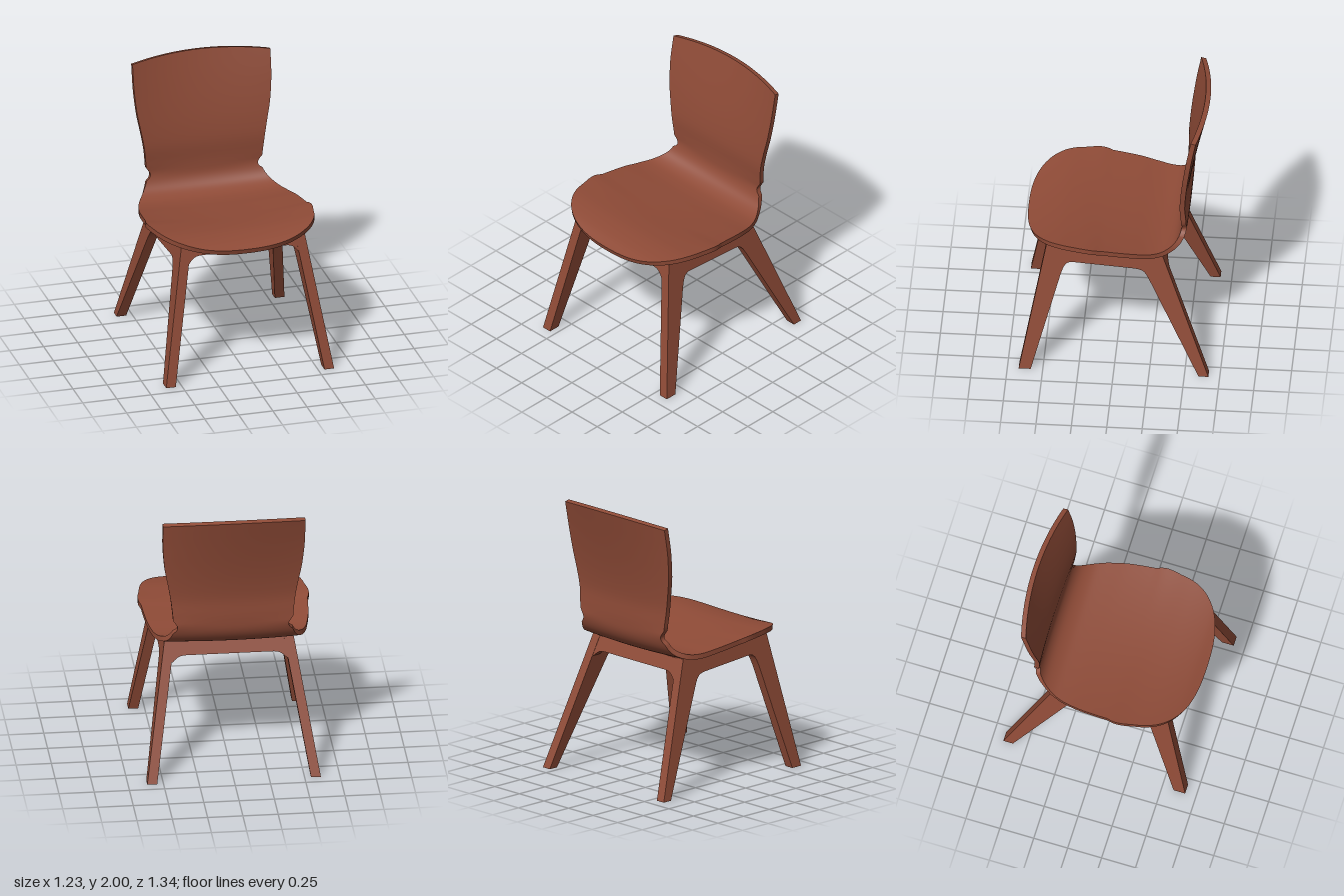
import * as THREE from 'three';
import { mergeVertices, toCreasedNormals } from 'three/addons/utils/BufferGeometryUtils.js';

const wood = new THREE.MeshStandardMaterial({ color: 0x8f4b37 });
wood.name = 'reddish brown wood';

// Shell profile from front edge to top of back: z, y, half width, sideways curl
const PROFILE = [
  [0.645, 0.988, 0.59, 0.035], [0.55, 1.015, 0.59, 0.035], [0.42, 1.03, 0.59, 0.035],
  [0.3, 1.027, 0.59, 0.035], [0.1, 1.007, 0.59, 0.035], [-0.1, 0.988, 0.575, 0.03],
  [-0.25, 0.977, 0.545, 0.022], [-0.34, 0.985, 0.51, 0.02], [-0.42, 1.025, 0.46, 0.02],
  [-0.462, 1.09, 0.425, 0.02], [-0.472, 1.18, 0.425, 0.02], [-0.47, 1.33, 0.44, 0.03],
  [-0.483, 1.45, 0.46, 0.038], [-0.51, 1.6, 0.488, 0.05], [-0.55, 1.78, 0.503, 0.065],
  [-0.603, 1.995, 0.505, 0.08],
];

// One bent sheet forms seat and back
function shellGeometry() {
  const path = new THREE.CatmullRomCurve3(PROFILE.map(p => new THREE.Vector3(0, p[1], p[0])));
  const sizes = new THREE.CatmullRomCurve3(PROFILE.map(p => new THREE.Vector3(p[2], p[3], 0)));
  const ROWS = 110, N = 28, L = 2 * (N + 1), THICK = 0.036;
  const pos = [], idx = [];
  for (let r = 0; r <= ROWS; r++) {
    const t = (r / ROWS) ** 2; // finer rows at the rounded front
    const p = path.getPoint(t), tan = path.getTangent(t), s = sizes.getPoint(t);
    const nz = tan.y, ny = -tan.z;
    // Rounded front outline
    const f = Math.min(1, Math.max(0, (p.z - 0.2) / 0.445));
    const w = Math.max(0.03, s.x * (1 - f ** 2.5) ** 0.4);
    const drop = Math.max(0, (p.y - 1.7) / 0.3) * 0.045;
    for (let i = 0; i < L; i++) {
      const top = i <= N, k = top ? i : L - 1 - i;
      const x = w * (2 * k / N - 1);
      const lift = s.y * (x / 0.59) ** 2 - (top ? 0 : THICK);
      const down = drop * (x / 0.5) ** 2;
      pos.push(x - 0.012, p.y + ny * lift - tan.y * down, p.z + nz * lift - tan.z * down);
    }
  }
  for (let r = 0; r < ROWS; r++) {
    for (let i = 0; i < L; i++) {
      const j = (i + 1) % L, a = r * L, b = a + L;
      idx.push(a + i, a + j, b + j, a + i, b + j, b + i);
    }
  }
  // Close front and top edges
  const e = ROWS * L;
  for (let i = 0; i < N; i++) {
    const u = L - 1 - i;
    idx.push(i, u, u - 1, i, u - 1, i + 1);
    idx.push(e + i, e + u - 1, e + u, e + i, e + i + 1, e + u - 1);
  }
  const g = new THREE.BufferGeometry();
  g.setAttribute('position', new THREE.Float32BufferAttribute(pos, 3));
  g.setIndex(idx);
  return toCreasedNormals(g, 0.7);
}

// Extrude a shape, then move each vertex by a rule
function slantedExtrude(shape, depth, rule) {
  let g = new THREE.ExtrudeGeometry(shape, { depth, bevelEnabled: false, curveSegments: 8 });
  g.deleteAttribute('normal');
  g.deleteAttribute('uv');
  const p = g.attributes.position;
  for (let i = 0; i < p.count; i++) p.setXYZ(i, ...rule(p.getX(i), p.getY(i), p.getZ(i)));
  g = mergeVertices(g);
  return toCreasedNormals(g, 0.5);
}

// Side frame: front leg, side rail and back leg in one outline (first coordinate is -z)
function sideFrameGeometry(side) {
  const s = new THREE.Shape();
  s.moveTo(-0.67, 0);
  s.lineTo(-0.585, 0);
  s.lineTo(-0.385, 0.75);
  s.bezierCurveTo(-0.36, 0.83, -0.35, 0.86, -0.29, 0.856);
  s.lineTo(0.13, 0.828);
  s.bezierCurveTo(0.2, 0.822, 0.21, 0.81, 0.245, 0.74);
  s.lineTo(0.6, 0);
  s.lineTo(0.67, 0);
  s.lineTo(0.33, 0.95);
  s.lineTo(0.2, 0.955);
  s.lineTo(0, 0.985);
  s.lineTo(-0.3, 1.018);
  s.lineTo(-0.48, 1.018);
  s.closePath();
  return slantedExtrude(s, 0.07, (x, y, d) => [side * (0.58 - 0.165 * y) + d - 0.035, y, -x]);
}

// Cross rail with curved corners running down into the legs
function railGeometry(top, bottom, corner, rule) {
  const s = new THREE.Shape();
  s.moveTo(-0.4, top);
  s.lineTo(-0.42, corner);
  s.lineTo(-0.405, corner);
  s.bezierCurveTo(-0.37, bottom - 0.01, -0.35, bottom, -0.3, bottom);
  s.lineTo(0.3, bottom);
  s.bezierCurveTo(0.35, bottom, 0.37, bottom - 0.01, 0.405, corner);
  s.lineTo(0.42, corner);
  s.lineTo(0.4, top);
  s.closePath();
  return slantedExtrude(s, 0.06, rule);
}

export function createModel() {
  const chair = new THREE.Group();
  chair.name = 'chair';
  const add = (name, geometry) => {
    const m = new THREE.Mesh(geometry, wood);
    m.name = name;
    chair.add(m);
  };
  add('seatAndBackShell', shellGeometry());
  add('leftSideFrame', sideFrameGeometry(1));
  add('rightSideFrame', sideFrameGeometry(-1));
  add('frontRail', railGeometry(0.99, 0.915, 0.855,
    (x, y, d) => [x, y, 0.608 - 0.186 * y + d]));
  add('backRail', railGeometry(0.945, 0.85, 0.805,
    (x, y, d) => [x, y, -0.668 + 0.358 * y + d]));
  return chair;
}
